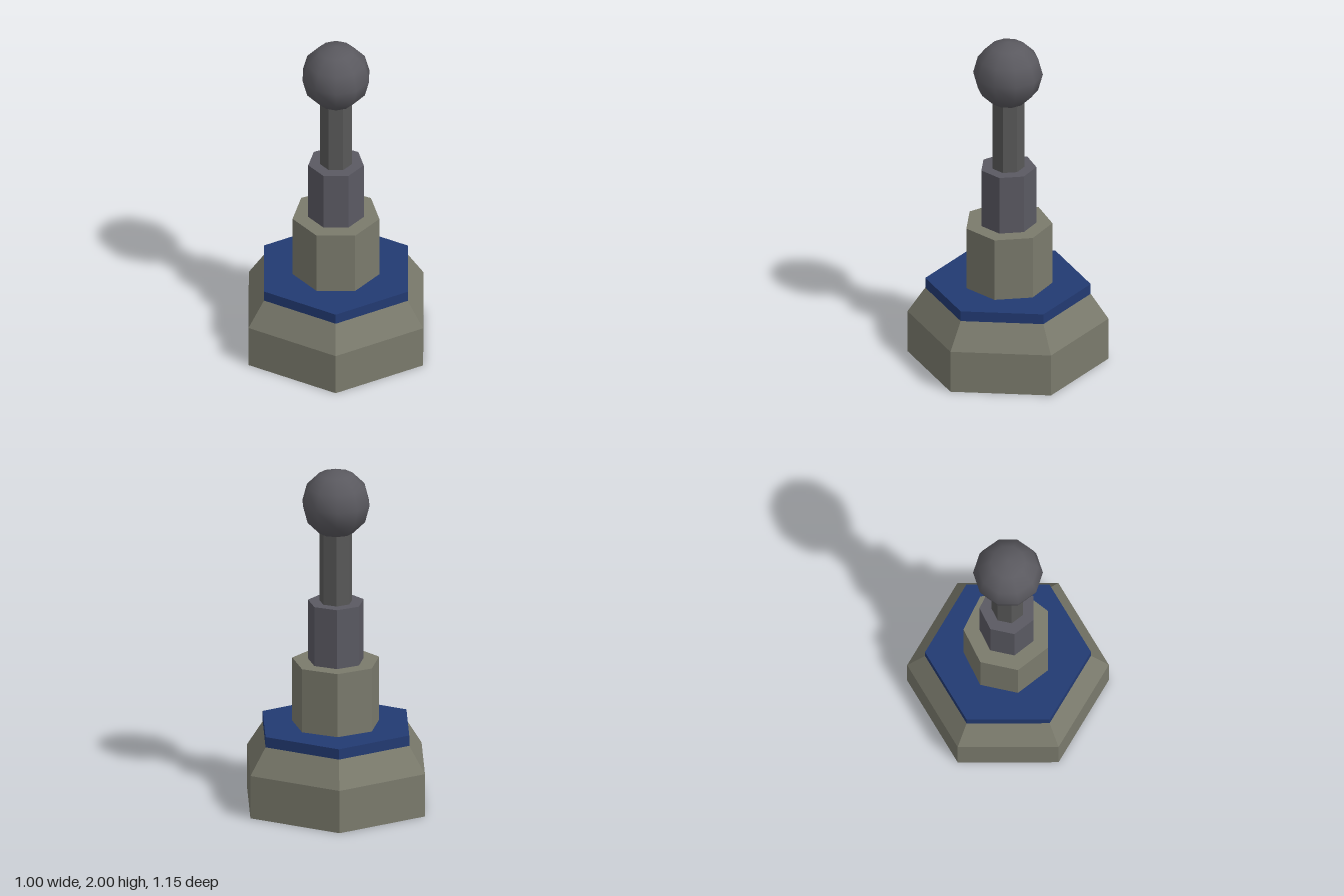
import * as THREE from 'three';

const paint = (color, flatShading = true) => new THREE.MeshStandardMaterial({ color, flatShading });

export function createModel() {
  const model = new THREE.Group();
  const stone = paint(0x7a7a6c);
  const blue = paint(0x223a72);
  const darkGrey = paint(0x5a5962);
  const rodGrey = paint(0x585858);
  const ballGrey = paint(0x5a595f, false);

  // Straight or tapered prism from y0 to y1, first corner at angle `turn` from +z
  function prism(name, sides, rBottom, rTop, y0, y1, material, turn = 0, open = false) {
    const geometry = new THREE.CylinderGeometry(rTop, rBottom, y1 - y0, sides, 1, open, turn);
    const mesh = new THREE.Mesh(geometry, material);
    mesh.name = name;
    mesh.position.y = (y0 + y1) / 2;
    model.add(mesh);
  }

  // Hexagonal base with a sloped shoulder and a coloured plate
  prism('base', 6, 0.577, 0.577, 0, 0.255, stone);
  prism('baseShoulder', 6, 0.577, 0.475, 0.255, 0.41, stone, 0, true);
  prism('basePlate', 6, 0.475, 0.475, 0.41, 0.472, blue);

  // Seven-sided stepped column, one corner pointing to the back
  prism('lowerColumn', 7, 0.255, 0.255, 0.472, 0.852, stone, Math.PI);
  prism('middleColumn', 7, 0.163, 0.163, 0.852, 1.207, darkGrey, Math.PI);
  prism('rod', 7, 0.095, 0.095, 1.207, 1.7, rodGrey, Math.PI);

  // Smooth low-poly ball with corners on the z axis
  const ball = new THREE.Mesh(new THREE.SphereGeometry(0.2, 10, 6, Math.PI / 2), ballGrey);
  ball.name = 'ball';
  ball.position.y = 1.8;
  model.add(ball);

  return model;
}
